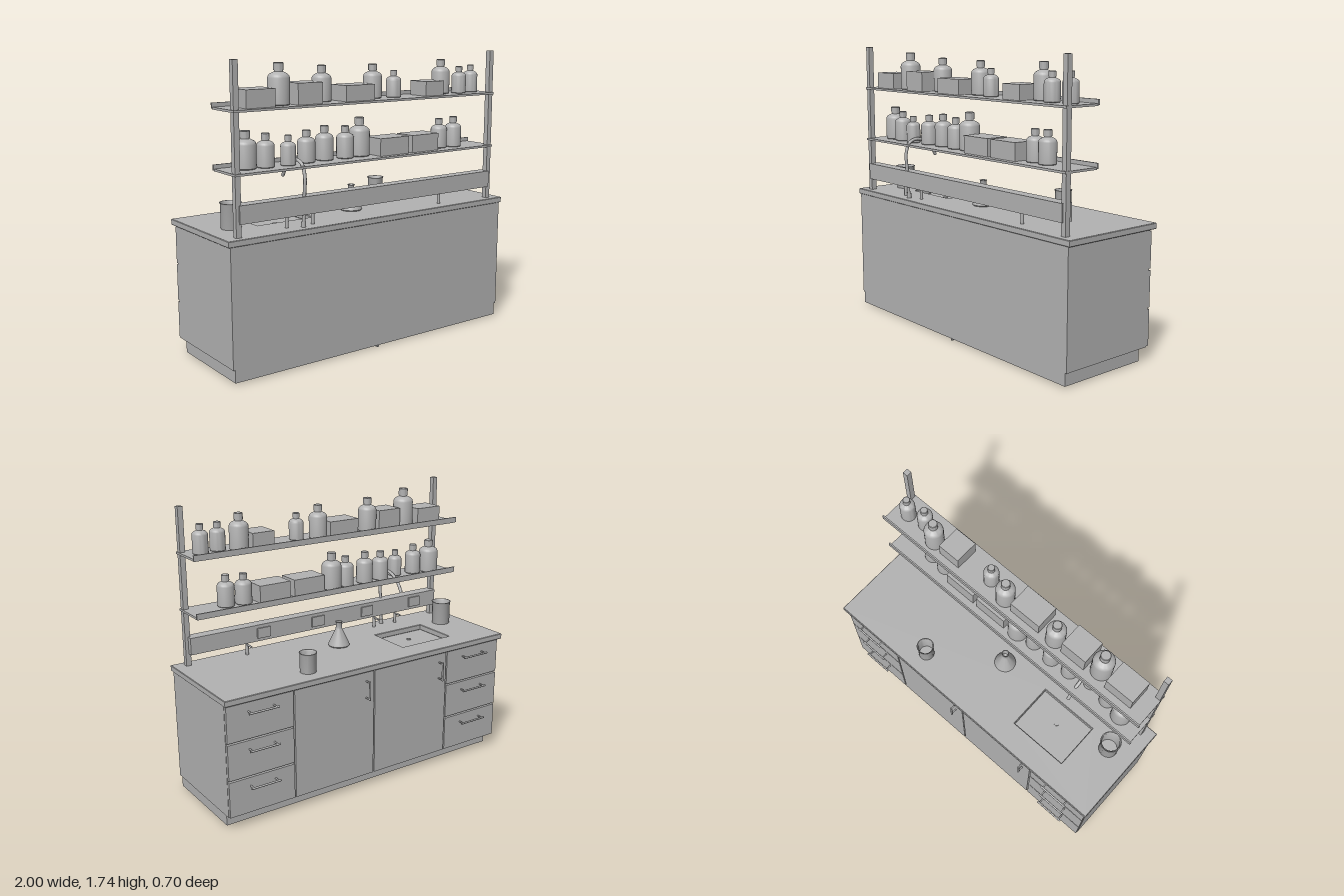
import * as THREE from 'three';
import { toCreasedNormals } from 'three/addons/utils/BufferGeometryUtils.js';

const grey = new THREE.MeshStandardMaterial({ color: 0xb2b2b2 });
grey.name = 'lab grey';
const greyOpen = grey; // closed profiles are used throughout, so one material is enough

export function createModel() {
  const model = new THREE.Group();
  model.name = 'labBench';

  const add = (name, geometry, x = 0, y = 0, z = 0) => {
    const mesh = new THREE.Mesh(geometry, greyOpen);
    mesh.name = name;
    mesh.position.set(x, y, z);
    model.add(mesh);
    return mesh;
  };
  // Box given by its limits on each axis
  const box = (name, x0, x1, y0, y1, z0, z1) =>
    add(name, new THREE.BoxGeometry(x1 - x0, y1 - y0, z1 - z0), (x0 + x1) / 2, (y0 + y1) / 2, (z0 + z1) / 2);
  const lathe = (name, points, x, y, z) => {
    const g = new THREE.LatheGeometry(points.map(([r, h]) => new THREE.Vector2(r, h)), 28);
    return add(name, toCreasedNormals(g, 0.6), x, y, z);
  };
  const tube = (name, points, radius) => {
    const curve = new THREE.CatmullRomCurve3(points.map((p) => new THREE.Vector3(...p)));
    return add(name, new THREE.TubeGeometry(curve, 32, radius, 10));
  };
  const rod = (name, radius, length, x, y, z, axis = 'y') => {
    const g = new THREE.CylinderGeometry(radius, radius, length, 12);
    if (axis === 'x') g.rotateZ(Math.PI / 2);
    if (axis === 'z') g.rotateX(Math.PI / 2);
    return add(name, g, x, y, z);
  };

  // Cabinet body, plinth and small levelling foot
  box('plinth', -0.975, 0.975, 0.01, 0.085, -0.24, 0.338);
  box('cabinet', -0.987, 0.987, 0.085, 0.765, -0.29, 0.34);
  box('foot', -0.006, 0.006, 0, 0.012, 0.325, 0.34);

  // Countertop with the sink cut out
  const top = new THREE.Shape();
  top.moveTo(-0.997, -0.327).lineTo(0.997, -0.327).lineTo(0.997, 0.342).lineTo(-0.997, 0.342).closePath();
  const hole = new THREE.Path();
  hole.moveTo(-0.69, -0.18).lineTo(-0.69, 0.115).lineTo(-0.31, 0.115).lineTo(-0.31, -0.18).closePath();
  top.holes.push(hole);
  const slab = new THREE.ExtrudeGeometry(top, {
    depth: 0.029, bevelEnabled: true, bevelThickness: 0.003, bevelSize: 0.003, bevelSegments: 1,
  });
  slab.rotateX(Math.PI / 2);
  add('countertop', slab, 0, 0.797, 0);
  rod('sinkDrain', 0.015, 0.006, -0.5, 0.767, 0.0);

  // Drawer stacks at both ends, with bar handles
  for (const side of [-1, 1]) {
    for (let i = 0; i < 3; i++) {
      const y0 = 0.09 + i * 0.225;
      const a = side * 0.563, b = side * 0.985;
      box('drawerFront', Math.min(a, b), Math.max(a, b), y0, y0 + 0.215, -0.308, -0.29);
      const y = y0 + 0.162;
      rod('drawerHandle', 0.006, 0.19, side * 0.77, y, -0.345, 'x');
      for (const end of [-1, 1]) rod('drawerHandlePost', 0.005, 0.04, side * 0.77 + end * 0.08, y, -0.325, 'z');
    }
  }
  // Two doors with upright handles
  for (const x of [-0.554, 0.004]) {
    box('door', x, x + 0.55, 0.09, 0.755, -0.308, -0.29);
    const hx = x + 0.056;
    rod('doorHandle', 0.006, 0.12, hx, 0.648, -0.345);
    for (const y of [0.595, 0.7]) rod('doorHandlePost', 0.005, 0.04, hx, y, -0.325, 'z');
  }

  // Rack posts, shelves with retaining lips
  for (const s of [-1, 1]) box('rackPost', s * 0.915 - 0.016, s * 0.915 + 0.016, 0.798, 1.735, 0.274, 0.307);
  const shelfTops = [1.143, 1.476];
  for (const y of shelfTops) {
    box('shelf', -0.935, 0.935, y - 0.013, y, 0.085, 0.315);
    box('shelfLip', -0.94, 0.94, y - 0.008, y + 0.023, 0.081, 0.09);
  }

  // Service panel with outlets
  box('servicePanel', -0.912, 0.912, 0.873, 0.975, 0.243, 0.315);
  for (const x of [-0.73, -0.34, 0.04, 0.43]) {
    box('outletPlate', x - 0.045, x + 0.045, 0.892, 0.955, 0.234, 0.243);
  }

  // Swan-neck faucet and valves
  tube('faucet', [
    [-0.495, 0.8, 0.29], [-0.495, 0.97, 0.3], [-0.495, 1.09, 0.306], [-0.495, 1.155, 0.275],
    [-0.495, 1.17, 0.21], [-0.495, 1.13, 0.13], [-0.495, 1.06, 0.08],
  ], 0.01);
  rod('faucetBase', 0.014, 0.03, -0.495, 0.815, 0.29);
  for (const x of [-0.583, -0.41, 0.54]) {
    rod('valveStem', 0.01, 0.065, x, 0.832, 0.255);
    rod('valveSpout', 0.006, 0.065, x, 0.862, 0.232, 'z');
  }

  // Bottle: round-shouldered body, neck and cap
  const bottle = (x, y, z, r, h) => {
    const n = r * 0.4, s = h * 0.64;
    lathe('bottle', [
      [0, 0], [r * 0.93, 0], [r, r * 0.08], [r, s], [r * 0.95, s + h * 0.05], [r * 0.8, s + h * 0.095],
      [r * 0.55, s + h * 0.13], [n, s + h * 0.15], [n, h * 0.83],
    ], x, y, z);
    lathe('bottleCap', [
      [0, h * 0.82], [r * 0.46, h * 0.82], [r * 0.46, h * 0.99], [r * 0.42, h], [0, h],
    ], x, y, z);
  };
  // x, z, radius, top height
  const lower = [
    [-0.794, 0.18, 0.061, 1.35], [-0.679, 0.2, 0.05, 1.33], [-0.543, 0.215, 0.043, 1.31],
    [-0.406, 0.19, 0.051, 1.325], [-0.275, 0.18, 0.052, 1.34], [-0.136, 0.19, 0.051, 1.33],
    [-0.021, 0.175, 0.061, 1.37], [0.58, 0.2, 0.05, 1.325], [0.69, 0.21, 0.051, 1.33],
  ];
  const upper = [
    [-0.588, 0.198, 0.062, 1.705], [-0.286, 0.17, 0.056, 1.68], [0.078, 0.17, 0.055, 1.675],
    [0.211, 0.203, 0.044, 1.635], [0.612, 0.17, 0.056, 1.685], [0.725, 0.215, 0.045, 1.64],
    [0.842, 0.195, 0.045, 1.645],
  ];
  [lower, upper].forEach((row, i) => {
    for (const [x, z, r, t] of row) bottle(x, shelfTops[i], z, r, t - shelfTops[i]);
  });

  // Storage boxes: shelf, x limits, top height
  const cartons = [
    [1, -0.84, -0.66, 1.575], [1, -0.515, -0.353, 1.595], [1, -0.193, 0.01, 1.567], [1, 0.4, 0.542, 1.563],
    [0, 0.056, 0.27, 1.247], [0, 0.298, 0.505, 1.247],
  ];
  for (const [i, x0, x1, y1] of cartons) box('storageBox', x0, x1, shelfTops[i], y1, 0.135, 0.28);

  // Open beakers and a conical flask on the countertop
  const beaker = (x, z, r, h) => lathe('beaker', [
    [0, 0], [r * 0.93, 0], [r * 0.95, 0.004], [r * 0.95, h - 0.01], [r * 1.04, h],
    [r * 0.95, h], [r * 0.86, h - 0.01], [r * 0.86, 0.006], [0, 0.006],
  ], x, 0.8, z);
  beaker(-0.835, 0.08, 0.061, 0.147);
  beaker(0.395, -0.2, 0.051, 0.118);
  lathe('conicalFlask', [
    [0, 0], [0.062, 0], [0.066, 0.006], [0.063, 0.018], [0.021, 0.108], [0.019, 0.118], [0.019, 0.148],
    [0.023, 0.155], [0.018, 0.155], [0.015, 0.148], [0.015, 0.11], [0, 0.105],
  ], -0.01, 0.8, 0.08);

  return model;
}
